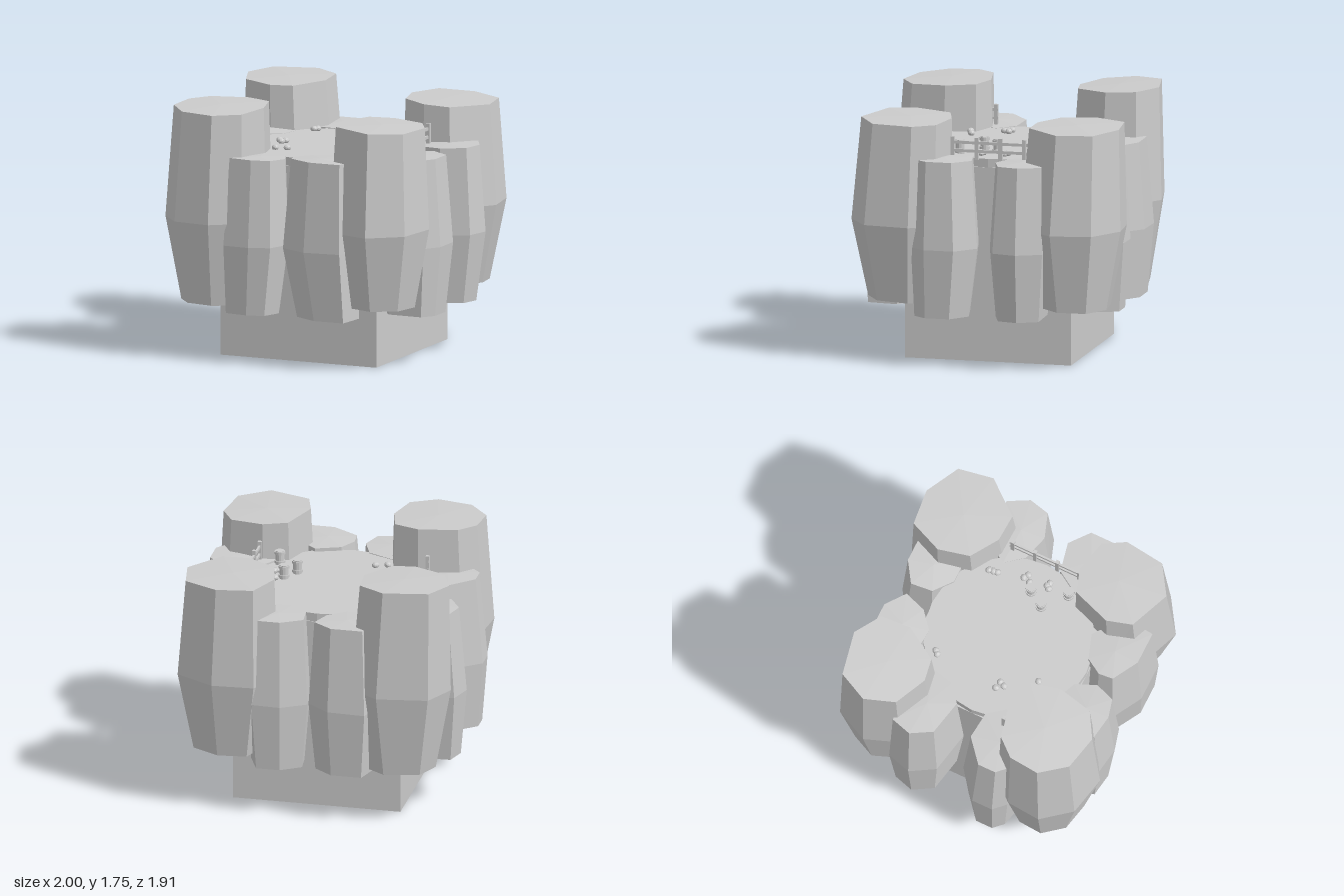
import * as THREE from 'three';

const mat = new THREE.MeshStandardMaterial({ color: 0xcccccc, flatShading: true });
const GROUND = 1.42;

function add(parent, name, geo, x = 0, y = 0, z = 0) {
  const m = new THREE.Mesh(geo, mat);
  m.name = name;
  m.position.set(x, y, z);
  parent.add(m);
  return m;
}

// Barrel-shaped boulder: the widest outline [x, z], with scaled and shifted rings above and below.
// Each ring: { y, s: scale, dx, dz, tx, tz: slope of the ring }
function boulder(parent, name, outline, rings) {
  const n = outline.length;
  const cx = outline.reduce((t, p) => t + p[0], 0) / n;
  const cz = outline.reduce((t, p) => t + p[1], 0) / n;
  const pts = outline.map(([x, z]) => [x - cx, z - cz])
    .sort((a, b) => Math.atan2(a[1], a[0]) - Math.atan2(b[1], b[0]));
  const pos = [], idx = [];
  for (const { y, s = 1, dx = 0, dz = 0, tx = 0, tz = 0 } of rings) {
    for (const [x, z] of pts) pos.push(cx + x * s + dx, y + x * tx + z * tz, cz + z * s + dz);
  }
  const last = (rings.length - 1) * n;
  for (let r = 0; r < last; r += n) {
    for (let i = 0; i < n; i++) {
      const j = (i + 1) % n;
      const a = r + i, b = r + j, c = a + n, d = b + n;
      idx.push(a, c, b, b, c, d);
    }
  }
  // Caps as fans around a centre point
  const lo = rings[0], hi = rings[rings.length - 1];
  const base = pos.length / 3;
  pos.push(cx + (lo.dx || 0), lo.y, cz + (lo.dz || 0));
  pos.push(cx + (hi.dx || 0), hi.y + 0.008, cz + (hi.dz || 0));
  for (let i = 0; i < n; i++) {
    const j = (i + 1) % n;
    idx.push(base, i, j, base + 1, last + j, last + i);
  }
  let g = new THREE.BufferGeometry();
  g.setAttribute('position', new THREE.Float32BufferAttribute(pos, 3));
  g.setIndex(idx);
  g = g.toNonIndexed();
  g.computeVertexNormals();
  add(parent, name, g);
}

// Tall corner boulder
function tall(parent, name, outline, low, high, top) {
  boulder(parent, name, outline, [
    { y: low, s: 0.7, tz: 0.02 }, { y: 0.97, tx: 0.02 }, { y: high, s: 0.89, ...top },
  ]);
}

// Lower boulder along a side
function low(parent, name, outline, high, bottom, top) {
  boulder(parent, name, outline, [
    { y: 0.35, s: 0.82, ...bottom }, { y: 0.83, tx: 0.02 }, { y: high, s: 0.86, ...top },
  ]);
}

// Fence running along z
function fence(parent, name, x, posts, z0, z1) {
  const f = new THREE.Group();
  f.name = name;
  for (const z of posts) add(f, 'fencePost', new THREE.BoxGeometry(0.026, 0.155, 0.026), x, GROUND + 0.07, z);
  for (const y of [1.472, 1.53]) {
    add(f, 'fenceRail', new THREE.BoxGeometry(0.014, 0.02, z1 - z0), x, y, (z0 + z1) / 2);
  }
  parent.add(f);
}

export function createModel() {
  const g = new THREE.Group();
  g.name = 'rockPlateau';

  // Core block and ground on top
  add(g, 'coreBlock', new THREE.BoxGeometry(1.18, 1.36, 1.18), -0.01, 0.68, 0);
  add(g, 'ground', new THREE.CylinderGeometry(0.59, 0.59, 0.07, 24), -0.01, GROUND - 0.035, 0);

  // Tall corner boulders
  tall(g, 'frontRightTallBoulder', [[-0.97, 0.69], [-0.95, 0.45], [-0.83, 0.31], [-0.53, 0.25],
    [-0.33, 0.32], [-0.27, 0.55], [-0.33, 0.83], [-0.53, 0.95], [-0.81, 0.89]],
    0.38, 1.74, { dz: -0.02, dx: 0.01, tz: -0.035 });
  tall(g, 'frontLeftTallBoulder', [[0.27, 0.62], [0.38, 0.31], [0.57, 0.25], [0.83, 0.31],
    [0.93, 0.48], [0.89, 0.8], [0.66, 0.95], [0.33, 0.82]],
    0.43, 1.69, { dx: -0.005, dz: -0.025, tx: -0.03 });
  tall(g, 'backLeftTallBoulder', [[0.25, -0.67], [0.36, -0.93], [0.65, -0.96], [0.92, -0.82],
    [0.97, -0.54], [0.75, -0.27], [0.53, -0.28], [0.31, -0.42]],
    0.42, 1.68, { dx: -0.02, dz: -0.02, tx: -0.02 });
  tall(g, 'backRightTallBoulder', [[-0.86, -0.88], [-0.51, -0.95], [-0.3, -0.82], [-0.28, -0.58],
    [-0.44, -0.32], [-0.62, -0.29], [-0.88, -0.41], [-0.97, -0.65]],
    0.38, 1.74, { dx: -0.03, dz: -0.01, tz: -0.04 });

  // Low boulders, two along each side
  low(g, 'frontRightLowBoulder', [[-0.33, 0.45], [-0.1, 0.55], [-0.03, 0.72], [-0.09, 0.88],
    [-0.24, 0.92], [-0.44, 0.89], [-0.48, 0.68]], 1.43, { dx: -0.03 }, { dz: -0.02, tz: 0.03 });
  low(g, 'frontLeftLowBoulder', [[0.24, 0.48], [0.04, 0.55], [-0.04, 0.68], [-0.03, 0.8],
    [0.18, 0.92], [0.45, 0.92], [0.48, 0.66]], 1.45, { dx: 0.06 }, { dx: 0.02, dz: -0.01, tz: 0.03 });
  low(g, 'backRightLowBoulder', [[-0.42, -0.92], [-0.16, -0.92], [0, -0.8], [-0.06, -0.62],
    [-0.2, -0.5], [-0.42, -0.52], [-0.48, -0.72]], 1.43, {}, { dz: 0.015, tz: -0.03 });
  low(g, 'backLeftLowBoulder', [[0.01, -0.8], [0.18, -0.91], [0.38, -0.91], [0.47, -0.7],
    [0.38, -0.5], [0.18, -0.5], [0.03, -0.62]], 1.44, {}, { dz: 0.01, tz: -0.03 });
  low(g, 'rightBackLowBoulder', [[-0.95, -0.46], [-1, -0.29], [-0.9, -0.12], [-0.6, -0.06],
    [-0.46, -0.17], [-0.42, -0.34], [-0.62, -0.48]], 1.43, { dx: -0.01 }, { dx: 0.01, dz: -0.02, tx: -0.03 });
  low(g, 'rightFrontLowBoulder', [[-1, 0.2], [-0.81, 0.04], [-0.58, 0.06], [-0.47, 0.2],
    [-0.52, 0.4], [-0.72, 0.48], [-0.92, 0.43], [-1, 0.35]], 1.43, { dx: -0.01 }, { dx: 0.02, dz: 0.01, tx: -0.03 });
  low(g, 'leftBackLowBoulder', [[0.91, -0.47], [1, -0.3], [0.96, -0.13], [0.76, -0.06],
    [0.55, -0.12], [0.43, -0.27], [0.55, -0.46]], 1.43, { dx: -0.02 }, { dx: -0.01, dz: -0.01, tx: 0.03 });
  low(g, 'leftFrontLowBoulder', [[0.8, 0.02], [0.96, 0.15], [0.96, 0.36], [0.88, 0.47],
    [0.58, 0.46], [0.43, 0.28], [0.56, 0.07]], 1.44, { dz: 0.02 }, { dx: -0.01, dz: 0.01, tx: 0.03 });

  // Fences
  fence(g, 'leftFence', 0.585, [-0.26, -0.09, 0.08, 0.25], -0.285, 0.3);
  fence(g, 'rightFence', -0.6, [0.25, 0.42], 0.235, 0.45);

  // Barrels with a wider rim at each end
  for (const [x, z] of [[0.355, -0.01], [0.285, 0.1], [0.44, 0.235]]) {
    const b = new THREE.Group();
    b.name = 'barrel';
    add(b, 'barrelBody', new THREE.CylinderGeometry(0.031, 0.031, 0.1, 12), 0, 0.05, 0);
    for (const y of [0.02, 0.085]) add(b, 'barrelRim', new THREE.CylinderGeometry(0.038, 0.038, 0.018, 12), 0, y, 0);
    b.position.set(x, GROUND, z);
    g.add(b);
  }

  // Scattered pebbles
  const pebbles = [[-0.34, -0.39], [-0.32, -0.41], [0.37, -0.34], [0.375, -0.31], [0.38, -0.28],
    [0.425, -0.1], [0.455, -0.08], [0.41, -0.05], [0.44, 0.07], [0.425, 0.09], [0.465, 0.08],
    [-0.385, 0.08], [-0.335, 0.09], [-0.35, 0.125], [-0.295, 0.35], [-0.215, 0.325]];
  pebbles.forEach(([x, z], i) => {
    const p = add(g, 'pebble', new THREE.IcosahedronGeometry(0.025, 1), x, GROUND + 0.014, z);
    p.rotation.y = i * 1.3;
    p.scale.set(1.05, 0.85, 0.95);
  });

  return g;
}
